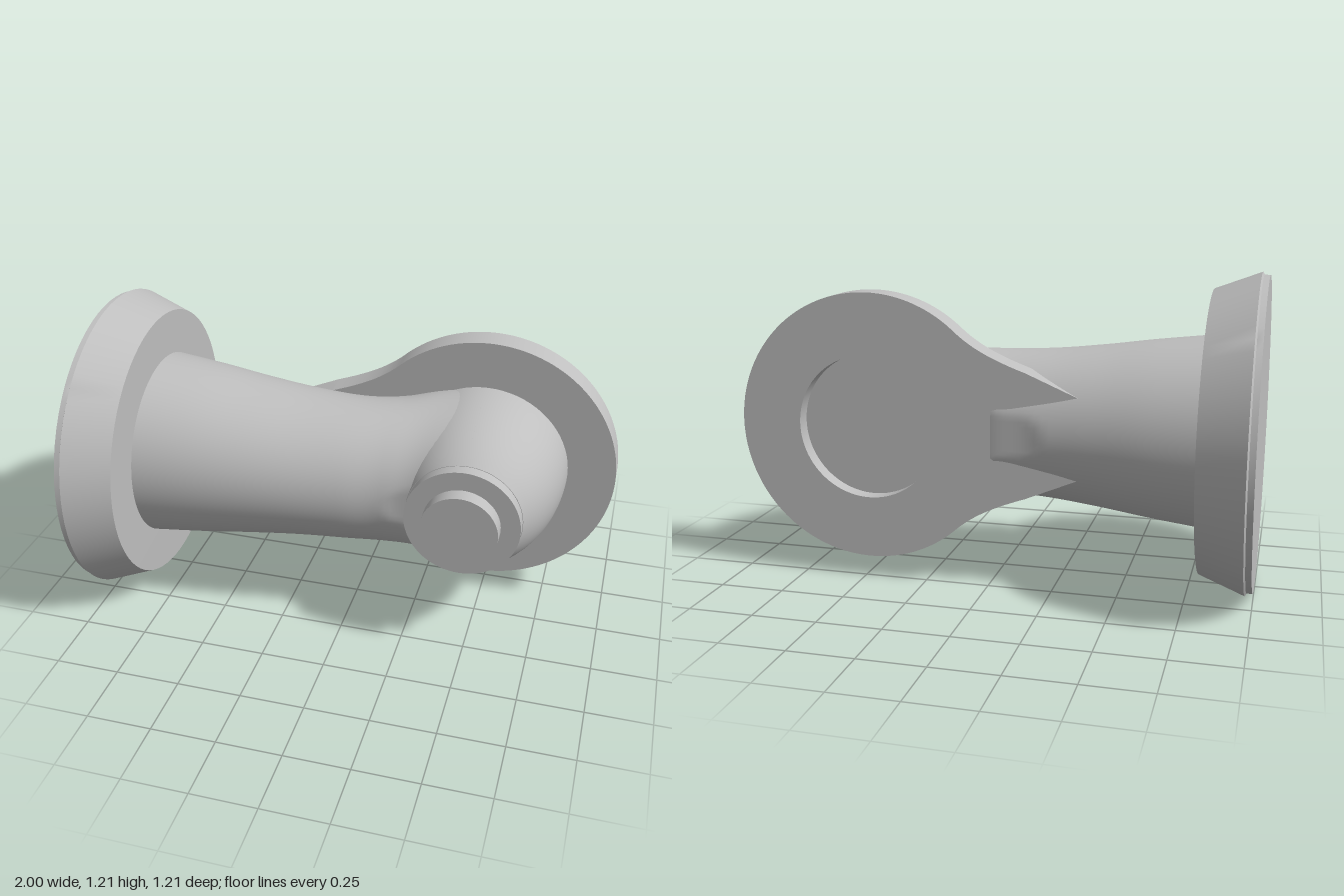
import * as THREE from 'three';
import { toCreasedNormals } from 'three/addons/utils/BufferGeometryUtils.js';

const AXIS_Y = 0.605; // height of the main axis
const HEAD_X = 0.475; // centre of the round head

// Solid of revolution with sharp edges, from [radius, height] pairs
function turned(profile) {
  const points = profile.map(([r, h]) => new THREE.Vector2(r, h));
  return toCreasedNormals(new THREE.LatheGeometry(points, 72), 0.4);
}

// Arm sections: x, half height, centre z, front radius, back limit, front limit
const SECTIONS = [
  [-0.82, 0.369, 0, 0.37, -0.4, 0.4],
  [-0.6, 0.343, 0, 0.354, -0.4, 0.4],
  [-0.4, 0.315, 0, 0.335, -0.4, 0.4],
  [-0.2, 0.293, 0, 0.312, -0.29, 0.4],
  [0, 0.284, 0, 0.284, -0.262, 0.35],
  [0.16, 0.289, -0.03, 0.288, -0.2, 0.26],
  [0.3, 0.307, -0.09, 0.36, -0.2, 0.246],
  [HEAD_X, 0.335, -0.15, 0.53, -0.2, 0.246],
];

// Loft through the sections, each an ellipse flattened at its limits
function armGeometry() {
  const curves = [1, 2, 3, 4, 5].map(
    (k) => new THREE.SplineCurve(SECTIONS.map((s) => new THREE.Vector2(s[0], s[k])))
  );
  const rings = 48, sides = 96, pos = [], index = [];
  for (let i = 0; i <= rings; i++) {
    const p = curves.map((c) => c.getPoint(i / rings));
    const [half, zc, front, zMin, zMax] = p.map((v) => v.y);
    for (let j = 0; j < sides; j++) {
      const a = (j / sides) * Math.PI * 2, s = Math.sin(a);
      const z = zc + s * (s > 0 ? front : half);
      pos.push(p[0].x, AXIS_Y + half * Math.cos(a), THREE.MathUtils.clamp(z, zMin, zMax));
    }
  }
  for (let i = 0; i < rings; i++) {
    for (let j = 0; j < sides; j++) {
      const a = i * sides + j, b = i * sides + ((j + 1) % sides);
      index.push(a, b, a + sides, b, b + sides, a + sides);
    }
  }
  const g = new THREE.BufferGeometry();
  g.setAttribute('position', new THREE.Float32BufferAttribute(pos, 3));
  g.setIndex(index);
  return toCreasedNormals(g, 0.5);
}

// Round plate with a tail that sweeps into the arm and a round opening
function plateGeometry() {
  const r = 0.52, a = Math.PI - 0.845;
  const shape = new THREE.Shape();
  shape.absarc(0, 0, r, -a, a, false);
  const x = (v) => v - HEAD_X;
  shape.bezierCurveTo(x(0.06), 0.325, x(-0.02), 0.285, x(-0.15), 0.24);
  shape.lineTo(x(-0.35), 0.155);
  shape.lineTo(x(-0.35), -0.155);
  shape.lineTo(x(-0.15), -0.24);
  shape.bezierCurveTo(x(-0.02), -0.285, x(0.06), -0.325, r * Math.cos(a), -r * Math.sin(a));
  const hole = new THREE.Path();
  hole.absarc(0, 0, 0.28, 0, Math.PI * 2, true);
  shape.holes.push(hole);
  const g = new THREE.ExtrudeGeometry(shape, { depth: 0.105, bevelEnabled: false, curveSegments: 48 });
  return toCreasedNormals(g, 0.5);
}

export function createModel() {
  const group = new THREE.Group();
  const grey = new THREE.MeshStandardMaterial({ color: 0xbfbfbf });
  grey.name = 'satin grey';

  const add = (name, geometry, x, y, z) => {
    const mesh = new THREE.Mesh(geometry, grey);
    mesh.name = name;
    mesh.position.set(x, y, z);
    group.add(mesh);
    return mesh;
  };

  // Wall flange with a tapered rim
  const flange = turned([
    [0, -1], [0.594, -1], [0.594, -0.978], [0.605, -0.972], [0.54, -0.8], [0, -0.795],
  ]);
  add('wallFlange', flange.rotateZ(-Math.PI / 2), 0, AXIS_Y, 0);

  // Tapering arm
  add('arm', armGeometry(), 0, 0, 0);

  // Domed head, flat on both ends; its back is the floor of the recess
  const dome = [[0, -0.205], [0.335, -0.205]];
  for (let i = 0; i <= 16; i++) {
    const u = (i / 16) * 0.4;
    dome.push([0.335 * Math.sqrt(1 - (u / 0.53) ** 2), -0.15 + u]);
  }
  dome.push([0, 0.25]);
  add('head', turned(dome).rotateX(Math.PI / 2), HEAD_X, AXIS_Y, 0);

  // Back plate with recess
  add('backPlate', plateGeometry(), HEAD_X, AXIS_Y, -0.265);

  // Stepped boss on the front of the head
  const boss = turned([
    [0, 0.24], [0.218, 0.24], [0.218, 0.297], [0.145, 0.297], [0.145, 0.357], [0, 0.357],
  ]);
  add('frontBoss', boss.rotateX(Math.PI / 2), HEAD_X, AXIS_Y, 0);

  return group;
}
